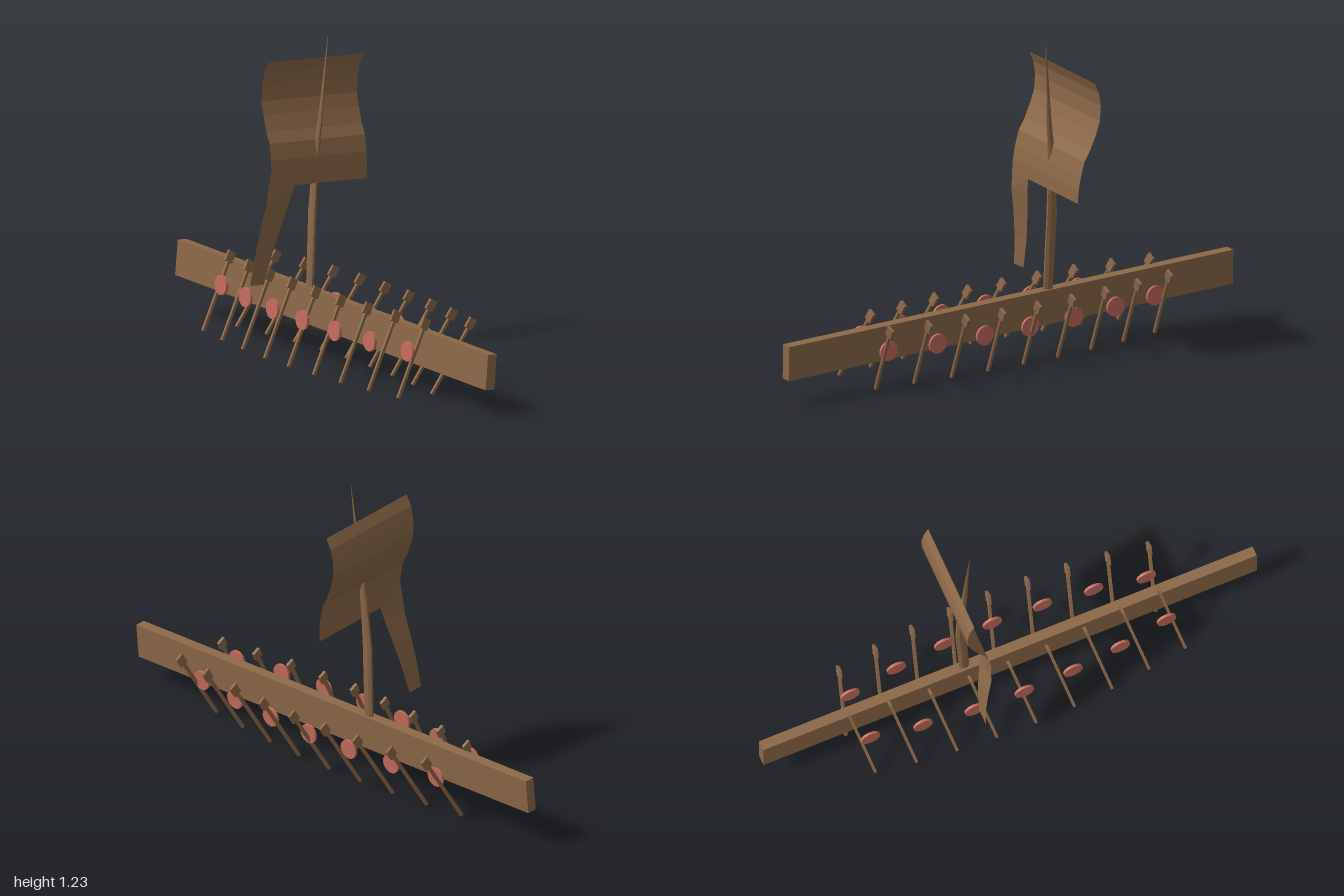
import * as THREE from 'three';

const wood = new THREE.MeshStandardMaterial({ color: 0x8c6848, side: THREE.DoubleSide, flatShading: true });
wood.name = 'brown wood';
const red = new THREE.MeshStandardMaterial({ color: 0xc46c5d, flatShading: true });
red.name = 'shield red';

// Skin between cross-sections that all have the same number of points
function loft(rows, closed) {
  const n = rows[0].length, index = [];
  for (let i = 0; i < rows.length - 1; i++) {
    for (let j = 0; j < (closed ? n : n - 1); j++) {
      const a = i * n + j, b = i * n + (j + 1) % n;
      index.push(a, b, b + n, a, b + n, a + n);
    }
  }
  const g = new THREE.BufferGeometry();
  g.setAttribute('position', new THREE.Float32BufferAttribute(rows.flat(2), 3));
  g.setIndex(index);
  g.computeVertexNormals();
  return g;
}

export function createModel() {
  const model = new THREE.Group();
  model.name = 'longship';
  const add = (parent, name, geometry, material = wood) => {
    const m = new THREE.Mesh(geometry, material);
    m.name = name;
    parent.add(m);
    return m;
  };

  // Keel beam, slightly pitched and rolled
  const keel = add(model, 'keel', new THREE.BoxGeometry(0.04, 0.135, 2));
  keel.position.set(-0.011, 0.188, 0);
  keel.rotation.set(0.0275, 0, -0.07);

  // Mast: oval sections [y, front z, back z, half width] tapering to the tip
  const sections = [
    [0.22, -0.155, -0.195, 0.012], [0.4, -0.157, -0.2, 0.012], [0.55, -0.16, -0.205, 0.011],
    [0.7, -0.159, -0.195, 0.01], [0.8, -0.155, -0.185, 0.01], [0.9, -0.147, -0.17, 0.007],
    [1.05, -0.14, -0.153, 0.003], [1.225, -0.13, -0.132, 0.0006],
  ];
  add(model, 'mast', loft(sections.map(([y, f, b, w]) => {
    const cx = 0.046 - 0.053 * (1.225 - y), ring = [];
    for (let k = 0; k < 8; k++) {
      const t = -(k + 0.5) * Math.PI / 4;
      ring.push([cx + w * Math.cos(t), y, (f + b) / 2 + (f - b) / 2 * Math.sin(t)]);
    }
    return ring;
  }), true));

  // Sail: curved sheet from rows of [y, z]
  const profile = [
    [0.66, -0.148], [0.71, -0.15], [0.76, -0.157], [0.82, -0.172], [0.86, -0.195],
    [0.92, -0.22], [0.97, -0.235], [1.03, -0.237], [1.08, -0.227], [1.122, -0.207],
  ];
  add(model, 'sail', loft(profile.map(([y, z]) => {
    const cx = 0.0425 - 0.0575 * (1.122 - y);
    return [[cx - 0.2175, y + 0.0115, z], [cx + 0.2175, y - 0.0115, z]];
  })));

  // Tail of cloth hanging from the lower corner of the sail
  add(model, 'sailTail', loft([
    [[-0.262, 0.293, -0.198], [-0.2, 0.29, -0.198]],
    [[-0.246, 0.405, -0.19], [-0.168, 0.403, -0.19]],
    [[-0.232, 0.505, -0.175], [-0.14, 0.503, -0.175]],
    [[-0.218, 0.605, -0.156], [-0.112, 0.603, -0.156]],
    [[-0.2, 0.73, -0.152], [-0.095, 0.665, -0.148]],
  ]));

  // Nine oars per side, all leaning the same way, with the blade on top
  const shaftGeometry = new THREE.BoxGeometry(0.011, 0.31, 0.011);
  const bladeGeometry = new THREE.BoxGeometry(0.034, 0.042, 0.011);
  const up = new THREE.Vector3(0, 1, 0);
  for (const side of [-1, 1]) {
    for (let i = -4; i <= 4; i++) {
      const z = i * 0.157;
      const oar = new THREE.Group();
      oar.name = side > 0 ? 'leftOar' : 'rightOar';
      oar.position.set(-0.012 + side * (0.146 - 0.139 * z * z), 0.152 - side * 0.008 - z * 0.012, z - 0.005);
      const lean = new THREE.Vector3(0.158, 0.27, side * 0.04).normalize();
      oar.quaternion.setFromUnitVectors(up, lean);
      add(oar, 'oarShaft', shaftGeometry).position.y = -0.006;
      add(oar, 'oarBlade', bladeGeometry).position.y = 0.14;
      model.add(oar);
    }
  }

  // Seven round shields per side
  const shieldGeometry = new THREE.CylinderGeometry(0.038, 0.038, 0.01, 20).rotateZ(Math.PI / 2);
  for (const side of [-1, 1]) {
    for (let i = -3; i <= 3; i++) {
      const z = i * 0.2;
      const shield = add(model, side > 0 ? 'leftShield' : 'rightShield', shieldGeometry, red);
      shield.position.set(-0.014 + side * (0.15 - 0.153 * z * z), 0.181 - side * 0.007 - z * 0.018, z);
      shield.rotation.z = -0.06;
    }
  }
  return model;
}
